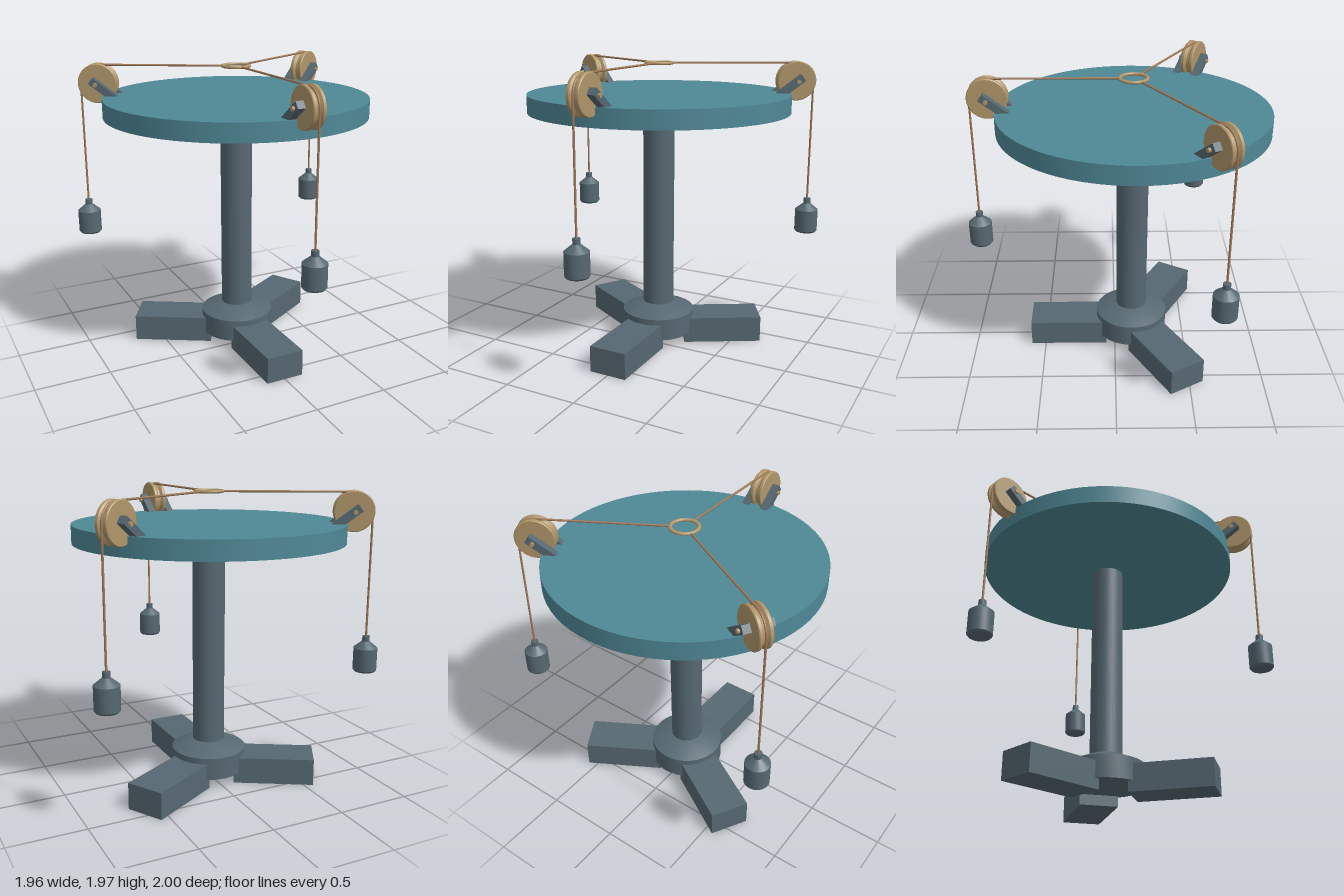
import * as THREE from 'three';
import { toCreasedNormals } from 'three/addons/utils/BufferGeometryUtils.js';

const material = (name, color) => {
  const m = new THREE.MeshStandardMaterial({ color });
  m.name = name;
  return m;
};

export function createModel() {
  const steel = material('slate steel', 0x566872);
  const teal = material('teal table', 0x4f8896);
  const brass = material('brass', 0xb0966a);
  const twine = material('brown cord', 0xa07a58);

  const model = new THREE.Group();
  model.name = 'forceTable';
  const body = new THREE.Group();
  body.name = 'body';
  body.position.z = -0.12;
  model.add(body);

  const add = (parent, name, geometry, mat, x = 0, y = 0, z = 0) => {
    const mesh = new THREE.Mesh(geometry, mat);
    mesh.name = name;
    mesh.position.set(x, y, z);
    parent.add(mesh);
    return mesh;
  };
  const lathe = (points, segments) => toCreasedNormals(
    new THREE.LatheGeometry(points.map(([r, y]) => new THREE.Vector2(r, y)), segments), 0.5);

  // Table disc, column and hub
  add(body, 'tableTop', new THREE.CylinderGeometry(0.88, 0.88, 0.12, 72), teal, 0, 1.70);
  add(body, 'column', new THREE.CylinderGeometry(0.107, 0.107, 1.40, 32), steel, 0, 0.95);
  add(body, 'hub', lathe([[0, 0.07], [0.25, 0.07], [0.25, 0.22], [0.107, 0.28], [0, 0.28]], 40), steel);

  // Centre ring where the cords meet
  const cordY = 1.955;
  const ring = add(body, 'centreRing', new THREE.TorusGeometry(0.087, 0.013, 10, 48), brass, 0, cordY);
  ring.rotation.x = Math.PI / 2;
  ring.scale.z = 0.8;

  // Shared station parts: local x points outward, z runs along the axle
  const axleX = 0.92, axleY = 1.835, wrap = 0.12, cordR = 0.007;
  const wheel = lathe([
    [0, -0.043], [0.125, -0.043], [0.13, -0.038], [0.13, -0.022], [0.112, -0.007],
    [0.112, 0.007], [0.13, 0.022], [0.13, 0.038], [0.125, 0.043], [0, 0.043],
  ], 48).rotateX(Math.PI / 2);
  const axle = new THREE.CylinderGeometry(0.014, 0.014, 0.22, 16).rotateX(Math.PI / 2);
  const arm = new THREE.BoxGeometry(0.242, 0.05, 0.05);
  arm.translate(-0.079, 0, 0).rotateZ(Math.atan2(0.6, 0.8));
  const weight = lathe([
    [0, 0.78], [0.068, 0.78], [0.078, 0.792], [0.078, 0.94], [0.024, 0.985], [0.024, 1.02], [0, 1.02],
  ], 28);
  const runLength = axleX - 0.095;
  const run = new THREE.CylinderGeometry(cordR, cordR, runLength, 8).rotateZ(Math.PI / 2);
  const bend = new THREE.TorusGeometry(wrap, cordR, 8, 16, Math.PI / 2);
  const dropLength = axleY - 1.01;
  const drop = new THREE.CylinderGeometry(cordR, cordR, dropLength, 8);

  for (let i = 0; i < 3; i++) {
    const station = new THREE.Group();
    station.name = 'station' + (i + 1);
    station.rotation.y = -Math.PI / 2 + i * Math.PI * 2 / 3;
    body.add(station);

    add(station, 'foot', new THREE.BoxGeometry(0.54, 0.18, 0.26), steel, 0.45, 0.09);

    // Pulley and its slanted bracket arms
    add(station, 'pulleyWheel', wheel, brass, axleX, axleY);
    add(station, 'pulleyAxle', axle, brass, axleX, axleY);
    for (const side of [-1, 1]) add(station, 'bracketArm', arm, steel, axleX, axleY, side * 0.07);

    // Cord over the pulley with its hanging weight
    add(station, 'cordRun', run, twine, 0.095 + runLength / 2, cordY);
    add(station, 'cordBend', bend, twine, axleX, axleY);
    add(station, 'cordDrop', drop, twine, axleX + wrap, 1.01 + dropLength / 2);
    add(station, 'weight', weight, steel, axleX + wrap);
  }
  return model;
}
